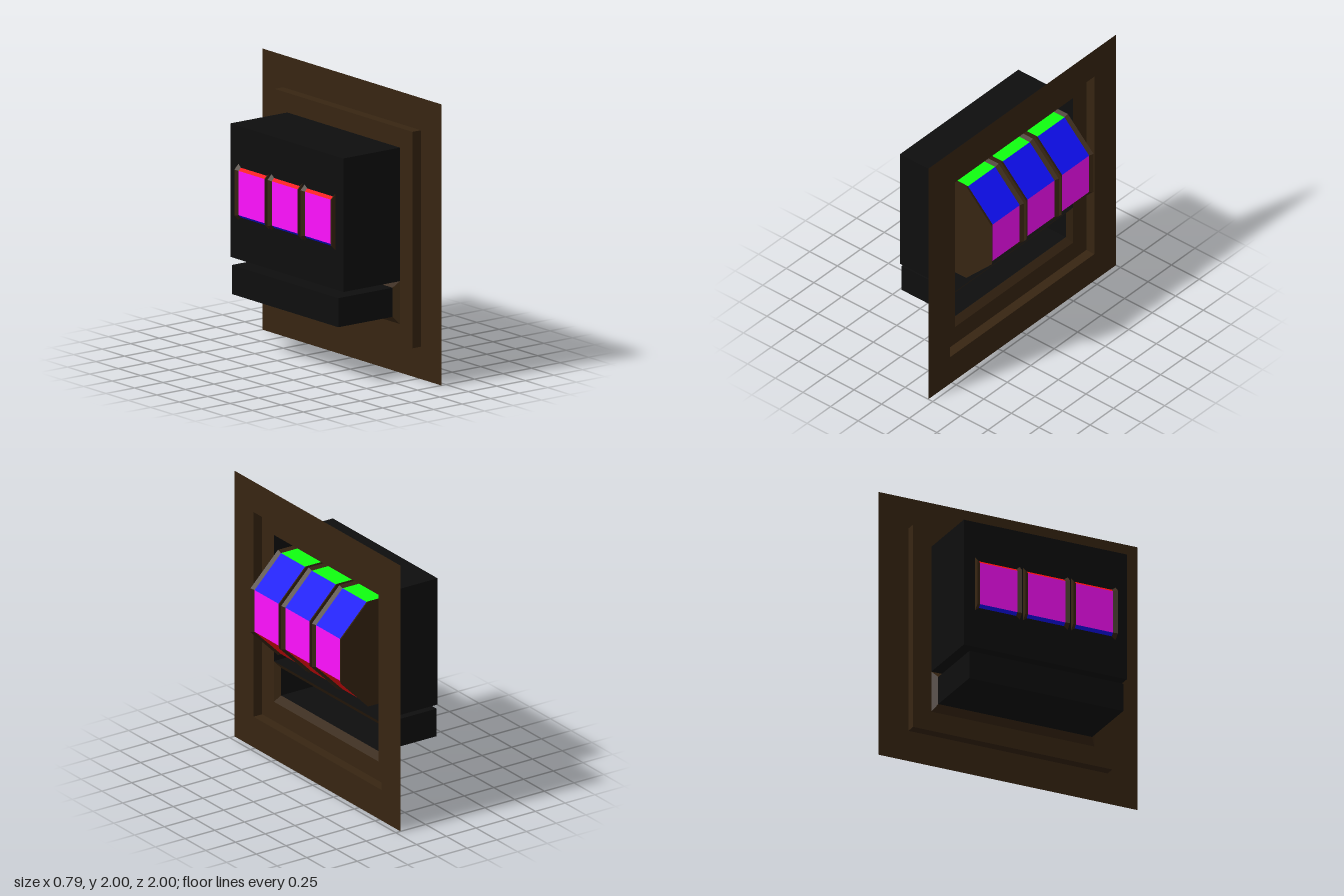
import * as THREE from 'three';

const paint = color => new THREE.MeshStandardMaterial({ color, flatShading: true, side: THREE.DoubleSide });
const brown = paint(0x372512);
const black = paint(0x0e0e0e);
// magenta, blue, green, red: repeated twice around each drum
const reelColors = [0xff10ff, 0x1010ff, 0x10ff10, 0xff1010].map(paint);

function add(parent, name, geometry, material) {
  const mesh = new THREE.Mesh(geometry, material);
  mesh.name = name;
  parent.add(mesh);
  return mesh;
}

// Rectangle in the z-y plane: half depth hz, from y0 to y1
function rect(T, hz, y0, y1) {
  return new T([[-hz, y0], [hz, y0], [hz, y1], [-hz, y1]].map(p => new THREE.Vector2(...p)));
}

// Flat panel at a given x, facing +x, with rectangular openings
function panel(x, outer, holes) {
  const shape = rect(THREE.Shape, ...outer);
  shape.holes = holes.map(h => rect(THREE.Path, ...h));
  return new THREE.ShapeGeometry(shape).rotateY(Math.PI / 2).translate(x, 0, 0);
}

// Open four-sided tunnel between rectangle a at xa (front) and b at xb (rear)
function tunnel(xa, a, xb, b) {
  const ring = (x, [hz, y0, y1]) => [[x, y0, hz], [x, y0, -hz], [x, y1, -hz], [x, y1, hz]];
  const A = ring(xa, a), B = ring(xb, b), pos = [];
  for (let i = 0; i < 4; i++) {
    const j = (i + 1) % 4;
    for (const p of [A[i], A[j], B[j], A[i], B[j], B[i]]) pos.push(...p);
  }
  const g = new THREE.BufferGeometry();
  g.setAttribute('position', new THREE.Float32BufferAttribute(pos, 3));
  g.computeVertexNormals();
  return g;
}

// Eight-sided drum with coloured faces and flared rims, axis along z
function makeReel() {
  const reel = new THREE.Group();
  const toCorner = 1 / Math.cos(Math.PI / 8);
  const r = 0.38 * toCorner, R = 0.396 * toCorner, inner = 0.144, outer = 0.172;
  for (let i = 0; i < 8; i++) {
    const start = Math.PI / 2 - Math.PI / 8 + i * Math.PI / 4;
    const face = new THREE.CylinderGeometry(r, r, inner * 2, 1, 1, true, start, Math.PI / 4);
    add(reel, 'reelFace', face.rotateX(Math.PI / 2), reelColors[i % 4]);
  }
  for (const s of [-1, 1]) {
    const profile = [[0, outer], [R, outer], [r, inner]].map(([x, y]) => new THREE.Vector2(x, y * s));
    const rim = new THREE.LatheGeometry(profile, 8, Math.PI / 8);
    add(reel, 'reelRim', rim.rotateX(Math.PI / 2), brown);
  }
  return reel;
}

export function createModel() {
  const model = new THREE.Group();
  model.name = 'reelCabinet';

  const recess = [0.77, 0.23, 1.77];
  const window = [0.63, 0.68, 1.63];
  const trayMouth = [0.63, 0.375, 0.68];
  const trayInner = [0.595, 0.425, 0.632];
  const front = 0.21, back = 0.137;

  // Front sheet with a stepped recess
  add(model, 'frontPanel', panel(front, [1, 0, 2], [recess]), brown);
  add(model, 'recessWalls', tunnel(front, recess, back, recess), brown);
  const opening = [0.63, 0.375, 1.63];
  add(model, 'recessPanel', panel(back, recess, [opening]), brown);

  // Housing behind the reel window
  add(model, 'housingWalls', tunnel(back, window, -0.36, window), black);
  add(model, 'housingBack', panel(-0.36, window, []), black);

  // Tray with a bevelled mouth
  add(model, 'trayBevel', tunnel(back, trayMouth, 0.1, trayInner), brown);
  add(model, 'trayWalls', tunnel(0.1, trayInner, -0.376, trayInner), black);
  add(model, 'trayBack', panel(-0.376, trayInner, []), black);

  // Three reels side by side
  for (const z of [-0.37, 0, 0.37]) {
    const reel = makeReel();
    reel.name = 'reel';
    reel.position.set(0, 1.16, z);
    model.add(reel);
  }
  return model;
}
